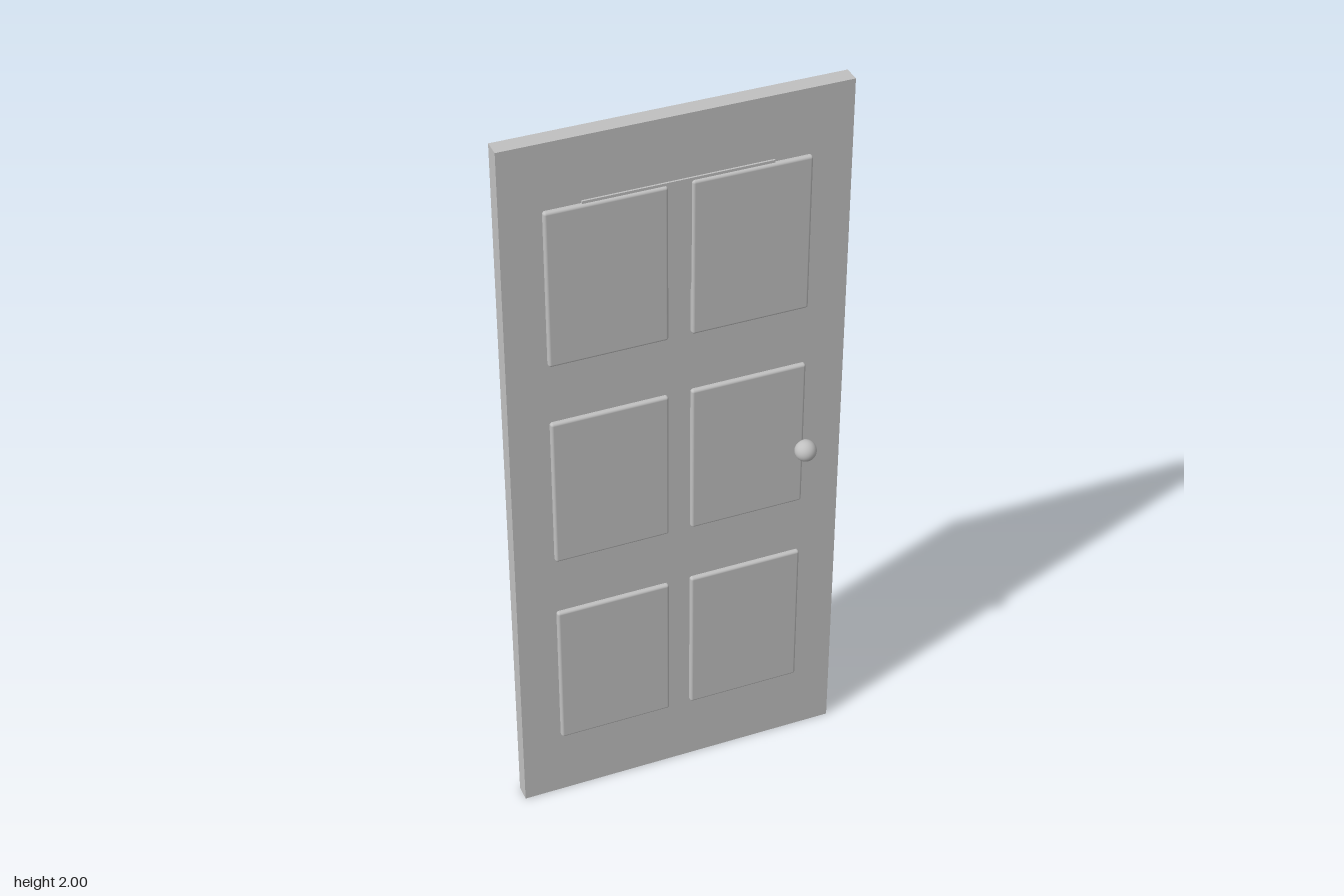
import * as THREE from 'three';
import { RoundedBoxGeometry } from 'three/addons/geometries/RoundedBoxGeometry.js';

export function createModel() {
  const model = new THREE.Group();
  model.name = 'door';
  const grey = new THREE.MeshStandardMaterial({ color: 0xc0c0c0 });
  grey.name = 'grey';

  const add = (name, geometry, x, y, z = 0) => {
    const mesh = new THREE.Mesh(geometry, grey);
    mesh.name = name;
    mesh.position.set(x, y, z);
    model.add(mesh);
  };

  // Door leaf
  add('leaf', new THREE.BoxGeometry(0.88, 2, 0.045), 0, 1);

  // Six raised panels, each passing through the leaf to show on both faces
  const panel = new RoundedBoxGeometry(0.305, 0.43, 0.069, 3, 0.007);
  for (const y of [0.411, 1.01, 1.608]) {
    for (const side of [-1, 1]) add('panel', panel, side * 0.1825, y);
  }

  // Shallow plate behind the top pair of panels, on both faces
  add('upperPlate', new THREE.BoxGeometry(0.48, 0.29, 0.055), 0, 1.685);

  // Round knobs, front and back
  const knob = new THREE.SphereGeometry(0.0285, 32, 20);
  for (const side of [-1, 1]) add('knob', knob, 0.335, 0.966, side * 0.048);

  return model;
}
